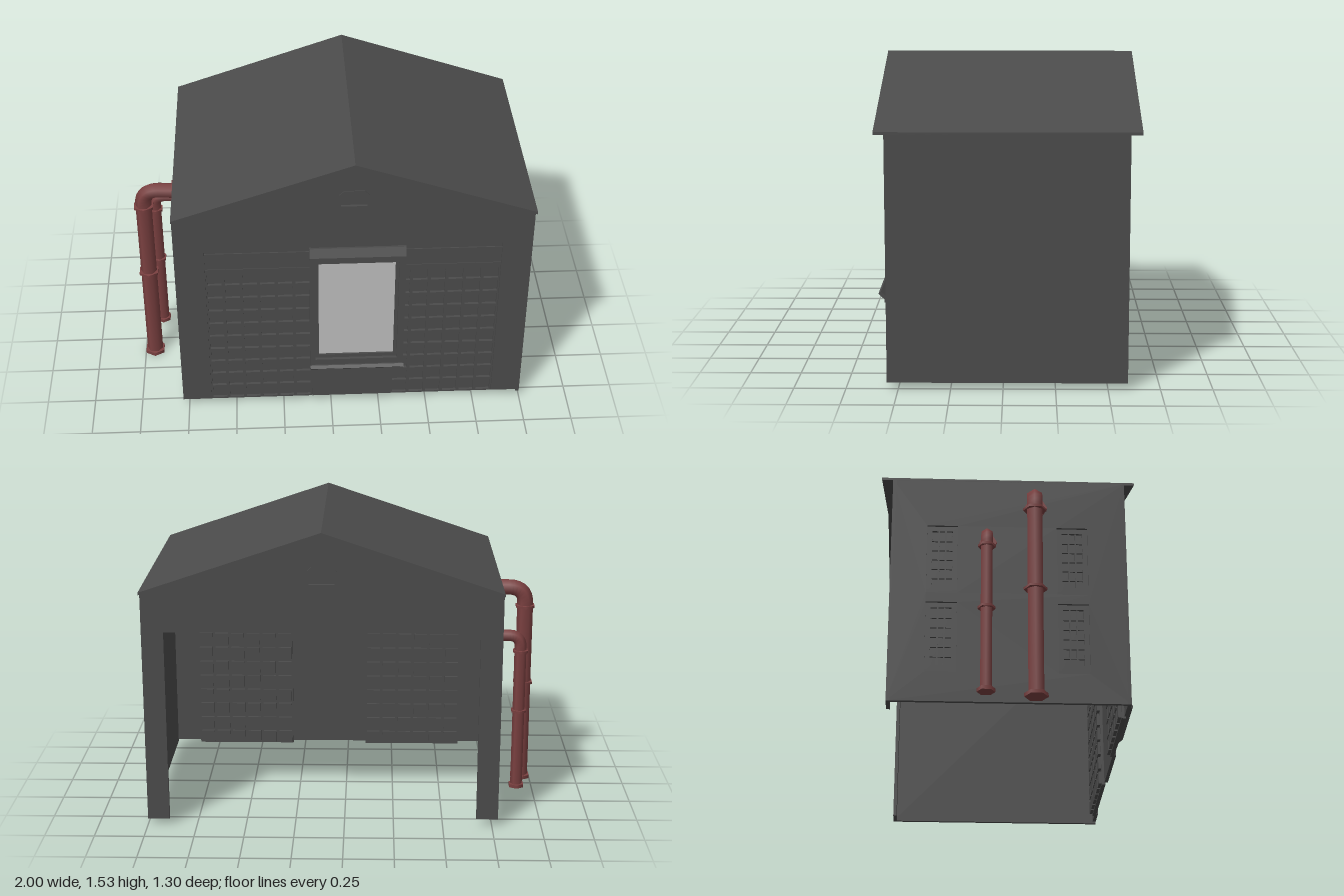
import * as THREE from 'three';
import { mergeGeometries } from 'three/addons/utils/BufferGeometryUtils.js';

const mat = (name, color) => {
  const m = new THREE.MeshStandardMaterial({ color });
  m.name = name;
  return m;
};

export function createModel() {
  const grey = mat('charcoal', 0x4b4b4b);
  const glass = mat('pale glass', 0xbebebe);
  const red = mat('pipe red', 0x7a4040);
  const model = new THREE.Group();
  model.name = 'shed';

  const add = (name, geos, material = grey) => {
    const list = [].concat(geos).map((g) => (g.index ? g.toNonIndexed() : g));
    const mesh = new THREE.Mesh(list.length > 1 ? mergeGeometries(list) : list[0], material);
    mesh.name = name;
    model.add(mesh);
    return mesh;
  };
  // Box from its limits
  const box = (x0, x1, y0, y1, z0, z1) =>
    new THREE.BoxGeometry(x1 - x0, y1 - y0, z1 - z0).translate((x0 + x1) / 2, (y0 + y1) / 2, (z0 + z1) / 2);
  const points = (pts) => pts.map(([x, y]) => new THREE.Vector2(x, y));
  const rect = (x0, x1, y0, y1) => [[x0, y0], [x1, y0], [x1, y1], [x0, y1]];
  const shape = (outline, holes) => {
    const s = new THREE.Shape(points(outline));
    for (const h of holes) s.holes.push(new THREE.Path(points(h)));
    return s;
  };
  // Plate drawn in x, y and given depth in z
  const plateZ = (outline, z0, z1, holes = []) =>
    new THREE.ExtrudeGeometry(shape(outline, holes), { depth: z1 - z0, bevelEnabled: false }).translate(0, 0, z0);
  // Plate drawn in z, y and given depth in x
  const plateX = (outline, x0, x1, holes = []) =>
    new THREE.ExtrudeGeometry(shape(outline, holes), { depth: x1 - x0, bevelEnabled: false })
      .rotateY(-Math.PI / 2).translate(x1, 0, 0);

  const L = -0.78, R = 1, RIDGE = 0.11, FRONT = 0.555, BACK = -0.595, T = 0.018;
  const gableTop = [[R, 1.224], [RIDGE, 1.524], [L, 1.224]];

  // Gable vent with clipped top corners
  const vent = (g) => [[0.035 + g, 1.255 + g], [0.185 - g, 1.255 + g], [0.185 - g, 1.33 - g / 2],
    [0.16 - g / 2, 1.355 - g], [0.06 + g / 2, 1.355 - g], [0.035 + g, 1.33 - g / 2]];

  // Roof
  add('roof', plateZ([[L, 1.222], [RIDGE, 1.522], [R, 1.222], [R, 1.235], [RIDGE, 1.535], [L, 1.235]], -0.65, 0.605));

  // Front wall with two door openings
  const doors = [[-0.63, -0.1], [0.315, 0.85]];
  const frontOutline = [[L, 0.04]];
  for (const [a, b] of doors) frontOutline.push([a, 0.04], [a, 1.02], [b, 1.02], [b, 0.04]);
  frontOutline.push([R, 0.04], ...gableTop);
  add('frontWall', plateZ(frontOutline, FRONT - T, FRONT, [vent(0)]));

  // Back wall, open below the gable
  add('backWall', plateZ([[L, 0.04], [-0.67, 0.04], [-0.67, 1.02], [0.89, 1.02], [0.89, 0.03], [R, 0.03], ...gableTop],
    BACK, BACK + T, [vent(0)]));

  // Vents: raised rim with a recessed plate
  for (const [name, z, s] of [['frontVent', FRONT, 1], ['backVent', BACK, -1]]) {
    const span = (a, b) => [Math.min(z + s * a, z + s * b), Math.max(z + s * a, z + s * b)];
    add(name + 'Rim', plateZ(vent(0), ...span(-T, 0.004), [vent(0.011)]));
    add(name + 'Plate', plateZ(vent(0.011), ...span(-T, -0.01)));
  }

  // Side walls
  add('leftWall', box(R - T, R, 0.03, 1.228, BACK, FRONT));
  const windows = [];
  for (const [z0, z1] of [[-0.42, -0.27], [0.215, 0.365]])
    for (const [y0, y1] of [[0.19, 0.555], [0.605, 0.97]]) windows.push([z0, z1, y0, y1]);
  add('rightWall', plateX(rect(BACK, FRONT, 0.04, 1.228), L, L + T, windows.map((w) => rect(...w))));

  // Side windows: rim, pane, sill and glazing bars
  for (const [z0, z1, y0, y1] of windows) {
    const inner = rect(z0 + 0.025, z1 - 0.025, y0 + 0.035, y1 - 0.025);
    const parts = [
      plateX(rect(z0, z1, y0, y1), L + 0.012, L + 0.03, [inner]),
      plateX(inner, L + 0.024, L + 0.028),
      box(L, L + 0.012, y0, y0 + 0.015, z0, z1),
    ];
    const [za, zb, ya, yb] = [z0 + 0.025, z1 - 0.025, y0 + 0.035, y1 - 0.025];
    for (let i = 1; i < 3; i++) {
      const z = za + (zb - za) * i / 3;
      parts.push(box(L + 0.014, L + 0.036, ya, yb, z - 0.004, z + 0.004));
    }
    for (let j = 1; j < 6; j++) {
      const y = ya + (yb - ya) * j / 6;
      parts.push(box(L + 0.014, L + 0.036, y - 0.004, y + 0.004, za, zb));
    }
    add('sideWindow', parts);
  }

  // Panelled doors: a lattice with a recessed panel in each cell
  for (const [a, b] of doors) {
    const cells = [], panels = [], pitchX = (b - a) / 6, pitchY = 0.0835;
    for (let i = 0; i < 6; i++) {
      for (let j = 0; j < 10; j++) {
        const x = a + i * pitchX + 0.008, y = 0.038 + j * pitchY;
        const c = [x, x + pitchX - 0.016, y, y + 0.067];
        cells.push(rect(...c));
        panels.push(box(...c, FRONT - 0.047, FRONT - 0.027));
      }
    }
    add('doorLattice', plateZ(rect(a, b, 0.03, 0.888), FRONT - 0.032, FRONT - 0.012, cells));
    add('doorPanels', panels);
    add('doorHeader', [
      box(a, b, 0.888, 0.907, FRONT - 0.032, FRONT - 0.016),
      box(a, b, 0.907, 0.988, FRONT - 0.032, FRONT - 0.008),
      box(a, b, 0.988, 1.02, FRONT - 0.032, FRONT - 0.014),
    ]);
  }

  // Front window: outer casing, inner rim, glass, sloped head and sill
  const wx0 = -0.11, wx1 = 0.37;
  add('windowCasing', plateZ(rect(wx0, wx1, 0.28, 0.975), FRONT - 0.01, 0.588, [rect(-0.083, 0.337, 0.317, 0.942)]));
  add('windowHead', plateX([[FRONT - 0.01, 0.975], [0.588, 0.975], [0.566, 1.018], [FRONT - 0.01, 1.018]], wx0, wx1));
  add('windowRim', plateZ(rect(-0.083, 0.337, 0.317, 0.942), FRONT, 0.572, [rect(-0.065, 0.32, 0.337, 0.928)]));
  add('windowGlass', box(-0.065, 0.32, 0.337, 0.928, FRONT, 0.562), glass);
  add('windowSill', plateX([[FRONT - 0.01, 0.262], [0.618, 0.262], [0.618, 0.278], [0.65, 0.308],
    [0.637, 0.32], [0.597, 0.283], [FRONT - 0.01, 0.283]], wx0, wx1));

  // Drain pipes with an elbow, wall flange and collars
  const pipes = [
    { x: -0.949, z: 0.097, wallZ: 0.112, y: 1.075, r: 0.042, bend: 0.085, base: 0, collars: [0.975, 0.55], wide: 0.056 },
    { x: -0.91, z: -0.132, wallZ: -0.122, y: 0.876, r: 0.031, bend: 0.06, base: 0.036, collars: [0.793, 0.465], wide: 0.043 },
  ];
  for (const p of pipes) {
    const start = new THREE.Vector3(L + 0.03, p.y, p.wallZ);
    const corner = new THREE.Vector3(p.x, p.y, p.z);
    const bendIn = corner.clone().add(start.clone().sub(corner).setLength(p.bend));
    const bendOut = new THREE.Vector3(p.x, p.y - p.bend, p.z);
    const path = new THREE.CurvePath();
    path.add(new THREE.LineCurve3(start, bendIn));
    path.add(new THREE.QuadraticBezierCurve3(bendIn, corner, bendOut));
    path.add(new THREE.LineCurve3(bendOut, new THREE.Vector3(p.x, p.base + 0.005, p.z)));
    add('drainPipe', new THREE.TubeGeometry(path, 64, p.r, 6), red);

    const ring = (y, h) => new THREE.CylinderGeometry(p.wide, p.wide, h, 6).translate(p.x, y, p.z);
    add('pipeCollars', [...p.collars.map((y) => ring(y, 0.012)), ring(p.base + 0.009, 0.018)], red);
    const disc = (r, h, x) => new THREE.CylinderGeometry(r, r, h, 6).rotateZ(Math.PI / 2).translate(x, p.y, p.wallZ);
    add('pipeFlange', [disc(p.wide, 0.016, L - 0.008), disc(p.r * 1.1, 0.012, L + 0.026)], red);
  }

  return model;
}
